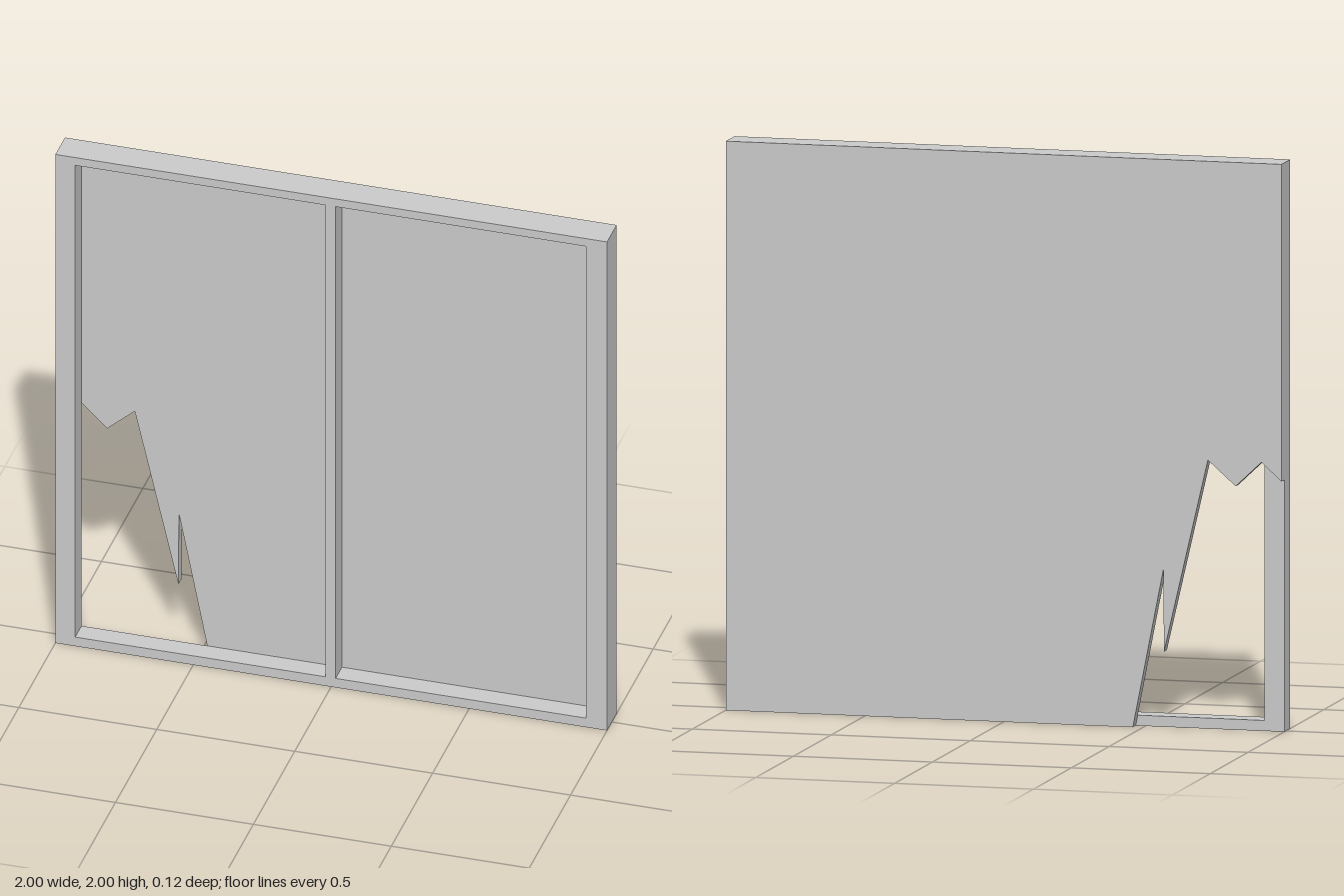
import * as THREE from 'three';

const HALF_DEPTH = 0.058;
const PANEL_FRONT = -0.019; // plane where the backing panel meets the frame

const points = (list) => list.map(([x, y]) => new THREE.Vector2(x, y));

const rectangle = (x0, x1, y0, y1) => points([[x0, y0], [x1, y0], [x1, y1], [x0, y1]]);

// Extrudes a flat outline between two z planes
function slab(name, shape, z0, z1, material) {
  const geometry = new THREE.ExtrudeGeometry(shape, { depth: z1 - z0, bevelEnabled: false });
  geometry.translate(0, 0, z0);
  const mesh = new THREE.Mesh(geometry, material);
  mesh.name = name;
  return mesh;
}

export function createModel() {
  const group = new THREE.Group();
  group.name = 'brokenPanel';
  const material = new THREE.MeshStandardMaterial({ color: 0xcccccc, flatShading: true });

  // Front frame: outer border and central mullion around two openings
  const frame = new THREE.Shape(rectangle(-1, 1, 0, 2));
  for (const [x0, x1] of [[-0.928, -0.02], [0.016, 0.924]]) {
    frame.holes.push(new THREE.Path(rectangle(x0, x1, 0.037, 1.968)));
  }
  group.add(slab('frame', frame, PANEL_FRONT, HALF_DEPTH, material));

  // Backing panel with a jagged piece broken out of its lower corner
  const panel = new THREE.Shape(points([
    [1, 0], [1, 2], [-1, 2],
    [-1, 0.885], [-0.928, 0.95], [-0.835, 0.862], [-0.735, 0.95],
    [-0.577, 0.27], [-0.575, 0.56], [-0.465, 0],
  ]));
  group.add(slab('backingPanel', panel, -HALF_DEPTH, PANEL_FRONT, material));

  return group;
}
